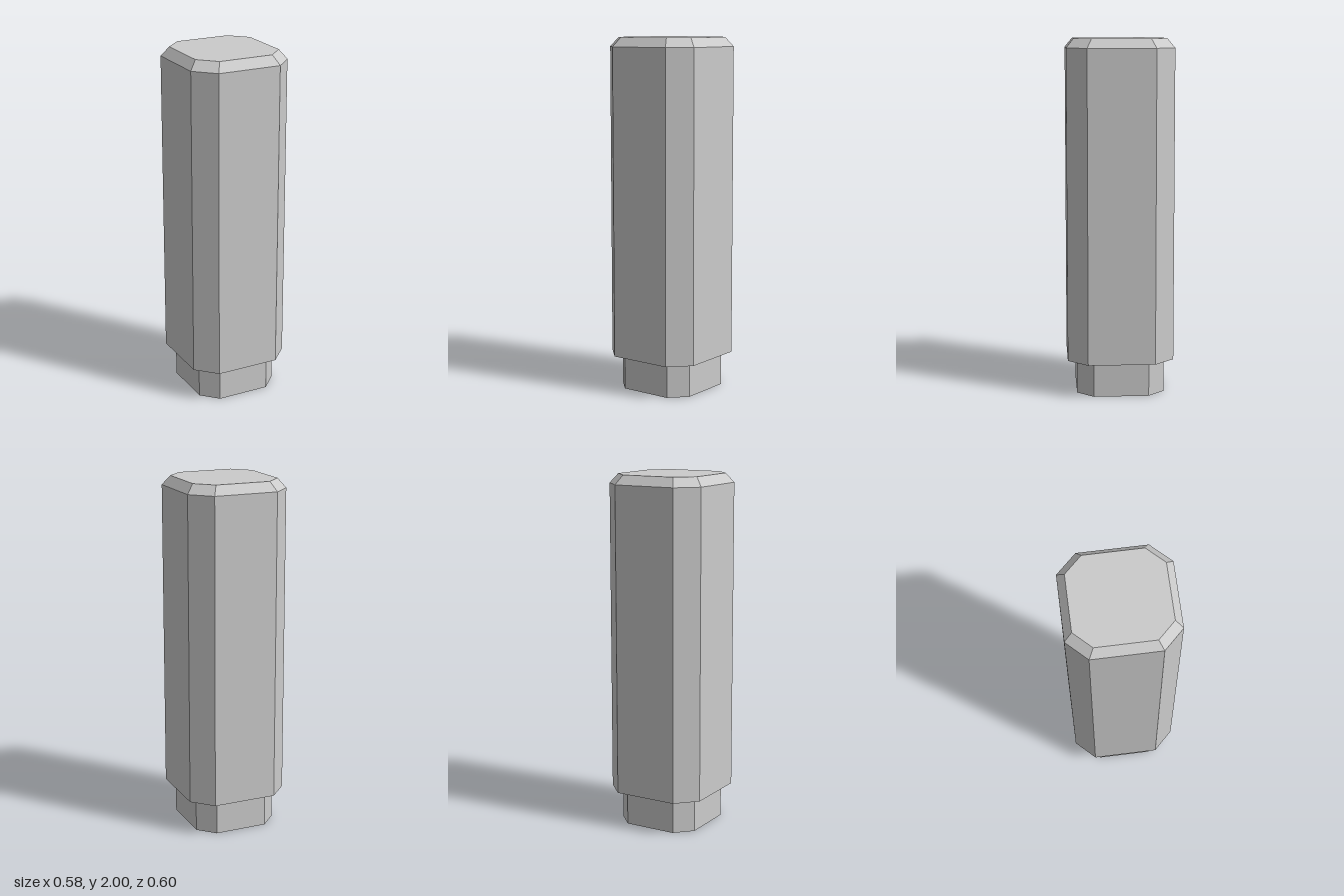
import * as THREE from 'three';

// Corner-cut rectangle at height y, scaled from the body's section
function octagon(scale, y) {
  const W = 0.291, D = 0.299, w = 0.183, d = 0.188;
  return [[W, -d], [W, d], [w, D], [-w, D], [-W, d], [-W, -d], [-w, -D], [w, -D]]
    .map(([x, z]) => [x * scale, y, z * scale]);
}

// Flat band of faces from a lower section to an upper (or outer) one
function band(lower, upper) {
  const points = [];
  lower.forEach((a, i) => {
    const j = (i + 1) % lower.length;
    points.push(a, upper[i], lower[j], lower[j], upper[i], upper[j]);
  });
  const geometry = new THREE.BufferGeometry();
  geometry.setAttribute('position', new THREE.Float32BufferAttribute(points.flat(), 3));
  geometry.computeVertexNormals();
  return geometry;
}

export function createModel() {
  const group = new THREE.Group();
  const material = new THREE.MeshStandardMaterial({
    color: 0xcccccc, flatShading: true, side: THREE.DoubleSide,
  });
  const BODY = 1, TOP = 0.86, COLLAR = 0.825;
  const ledgeY = 0.195, bevelY = 1.948, topY = 2;

  // Hollow shell from the open foot to the closed top
  const parts = [
    ['collar', octagon(COLLAR, 0), octagon(COLLAR, ledgeY)],
    ['ledge', octagon(COLLAR, ledgeY), octagon(BODY, ledgeY)],
    ['body', octagon(BODY, ledgeY), octagon(BODY, bevelY)],
    ['topBevel', octagon(BODY, bevelY), octagon(TOP, topY)],
    ['topCap', octagon(TOP, topY), octagon(0, topY)],
  ];
  for (const [name, lower, upper] of parts) {
    const mesh = new THREE.Mesh(band(lower, upper), material);
    mesh.name = name;
    group.add(mesh);
  }
  return group;
}
